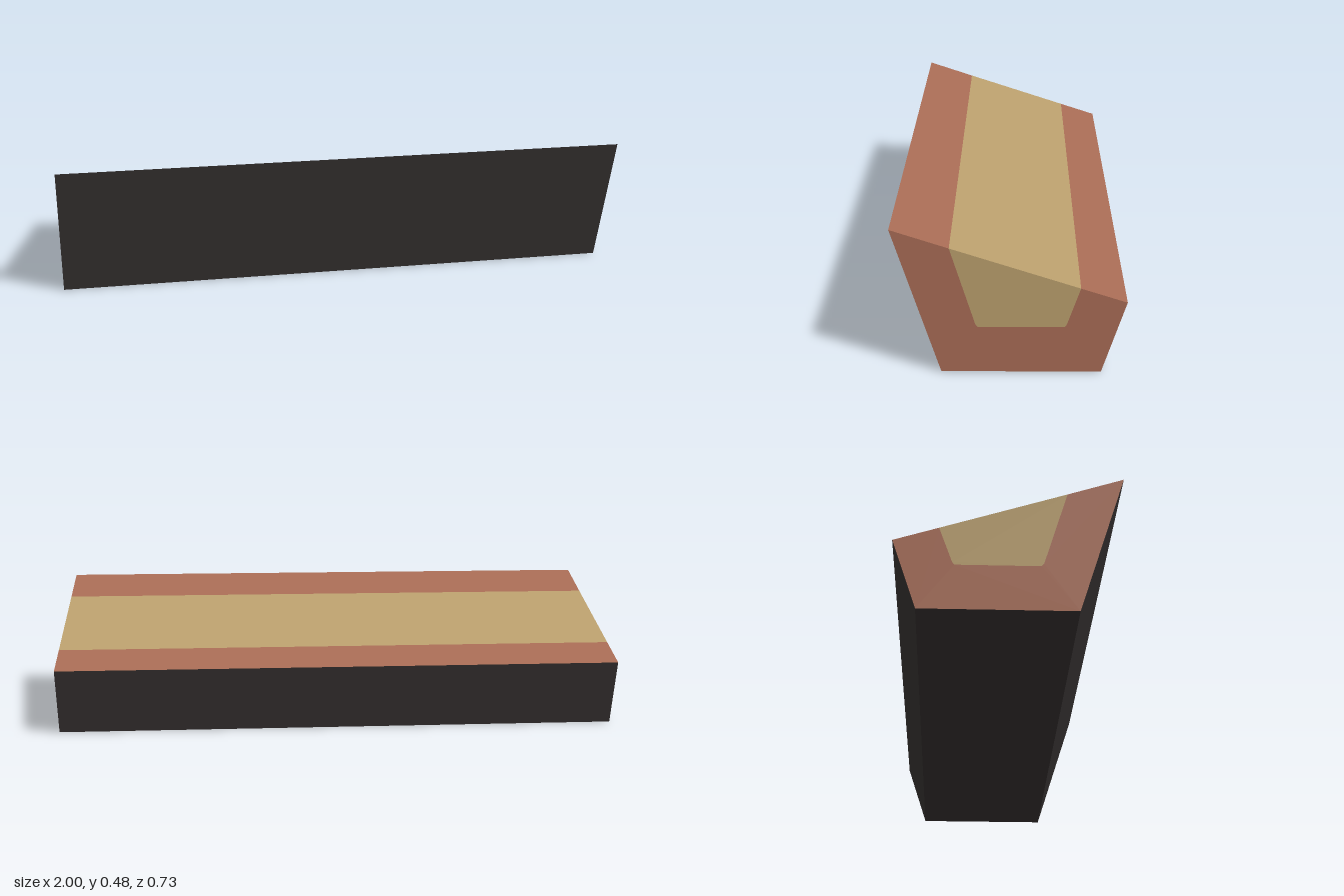
import * as THREE from 'three';

const LENGTH = 2;

// Extrudes a [z, y] profile along x, centred on x = 0
function extrudeAlongX(profile) {
  const shape = new THREE.Shape(profile.map(([z, y]) => new THREE.Vector2(-z, y)));
  const geometry = new THREE.ExtrudeGeometry(shape, { depth: LENGTH, bevelEnabled: false });
  geometry.translate(0, 0, -LENGTH / 2);
  geometry.rotateY(Math.PI / 2);
  return geometry;
}

// Material 0 on the cut faces (ends and top), material 1 on the outer skin
function groupByFacing(geometry) {
  const normal = geometry.attributes.normal;
  geometry.clearGroups();
  for (let i = 0; i < normal.count; i += 3) {
    const cut = Math.abs(normal.getX(i)) > 0.5 || normal.getY(i) > 0.5;
    geometry.addGroup(i, 3, cut ? 0 : 1);
  }
  return geometry;
}

export function createModel() {
  const brown = new THREE.MeshStandardMaterial({ color: 0xa86c55 });
  brown.name = 'reddish brown';
  const tan = new THREE.MeshStandardMaterial({ color: 0xba9f6d });
  tan.name = 'tan';
  const dark = new THREE.MeshStandardMaterial({ color: 0x3a3534 });
  dark.name = 'charcoal';

  // Channel that holds the core, from back rim to front rim
  const channel = [
    [-0.22, 0.285], [-0.178, 0.163], [-0.171, 0.154],
    [0.097, 0.154], [0.105, 0.163], [0.183, 0.417],
  ];
  // Outer profile: front rim, front foot, back foot, back rim
  const outer = [[0.364, 0.477], [0.213, 0], [-0.287, 0], [-0.364, 0.238]];

  const group = new THREE.Group();
  group.name = 'trough';

  const body = new THREE.Mesh(groupByFacing(extrudeAlongX([...outer, ...channel])), [brown, dark]);
  body.name = 'body';

  const core = new THREE.Mesh(extrudeAlongX(channel), tan);
  core.name = 'filling';

  group.add(body, core);
  return group;
}
